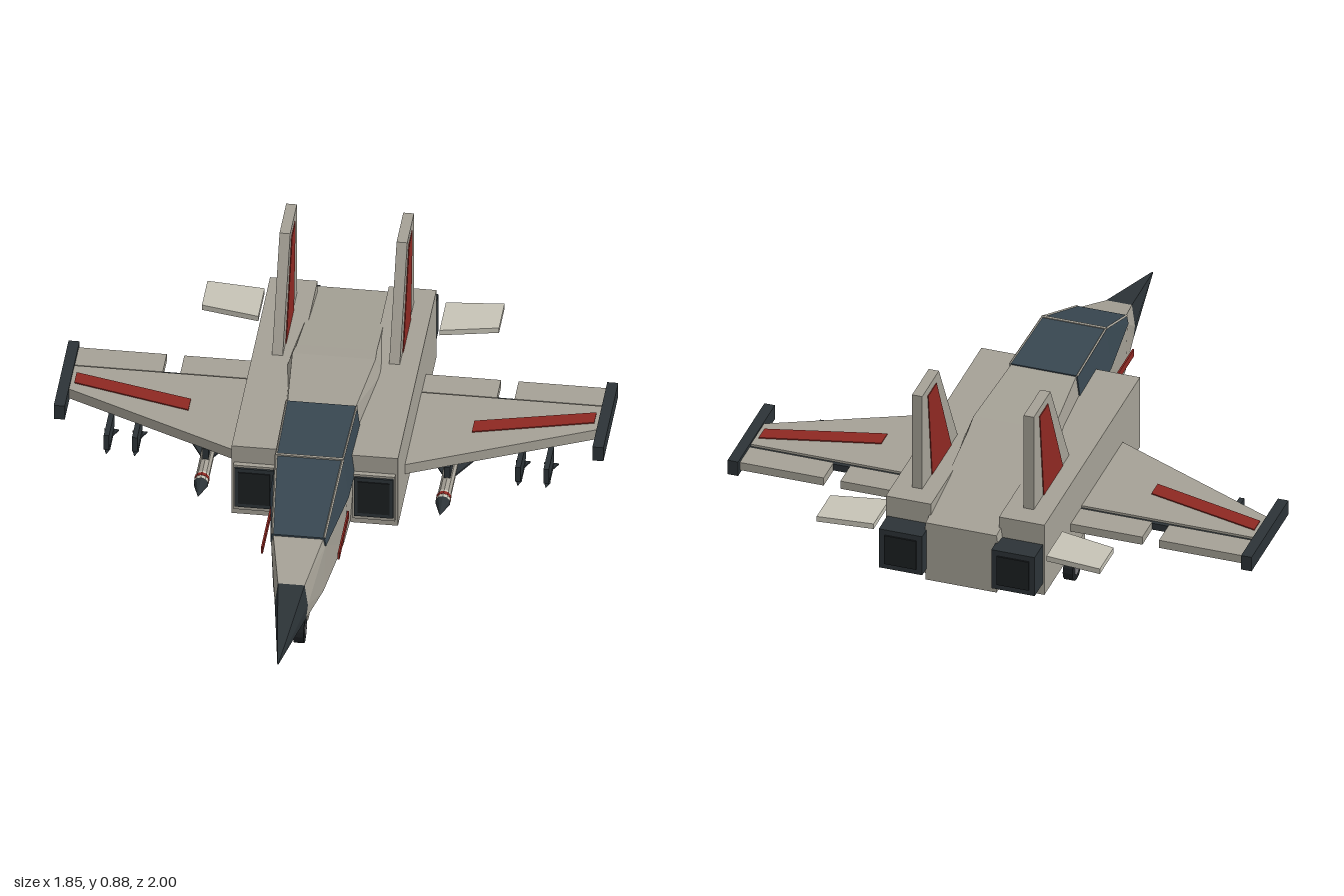
import * as THREE from 'three';

const mat = (color) => new THREE.MeshStandardMaterial({ color, flatShading: true });

export function createModel() {
  const model = new THREE.Group();
  const grey = mat(0xa5a196), light = mat(0xc6c3b6), dark = mat(0x2c3337), black = mat(0x1c2022);
  const red = mat(0x8e2822), glass = mat(0x384751), steel = mat(0x77777a);

  function add(name, geometry, material, x = 0, y = 0, z = 0) {
    const mesh = new THREE.Mesh(geometry, material);
    mesh.name = name;
    mesh.position.set(x, y, z);
    model.add(mesh);
    return mesh;
  }
  // Box from min / max limits on each axis
  function block(name, m, [x0, x1], [y0, y1], [z0, z1]) {
    return add(name, new THREE.BoxGeometry(Math.abs(x1 - x0), y1 - y0, Math.abs(z1 - z0)), m,
      (x0 + x1) / 2, (y0 + y1) / 2, (z0 + z1) / 2);
  }
  // Horizontal plate from a plan outline of [x, z]
  function plate(name, m, outline, y, thickness) {
    const shape = new THREE.Shape(outline.map(([x, z]) => new THREE.Vector2(x, -z)));
    const g = new THREE.ExtrudeGeometry(shape, { depth: thickness, bevelEnabled: false });
    return add(name, g.rotateX(-Math.PI / 2), m, 0, y, 0);
  }
  // Upright plate from a side outline of [z, y], centred on x
  function upright(name, m, outline, x, thickness) {
    const shape = new THREE.Shape(outline.map(([z, y]) => new THREE.Vector2(z, y)));
    const g = new THREE.ExtrudeGeometry(shape, { depth: thickness, bevelEnabled: false });
    return add(name, g.translate(0, 0, -thickness / 2).rotateY(-Math.PI / 2), m, x, 0, 0);
  }
  // Skin over mirrored sections, front to back: { z, half: [x, y] from bottom to top }
  function loft(name, m, sections) {
    const rings = sections.map(({ z, half }) => [
      ...half.map(([x, y]) => [x, y, z]),
      ...half.slice().reverse().map(([x, y]) => [-x, y, z]),
    ]);
    const v = [], n = rings[0].length;
    for (let k = 0; k < rings.length - 1; k++) {
      for (let i = 0; i < n; i++) {
        const j = (i + 1) % n, a = rings[k], b = rings[k + 1];
        v.push(a[i], b[i], a[j], a[j], b[i], b[j]);
      }
    }
    const last = rings[rings.length - 1];
    for (let i = 1; i < n - 1; i++) {
      v.push(rings[0][0], rings[0][i], rings[0][i + 1], last[0], last[i + 1], last[i]);
    }
    const g = new THREE.BufferGeometry();
    g.setAttribute('position', new THREE.Float32BufferAttribute(v.flat(), 3));
    g.computeVertexNormals();
    return add(name, g, m);
  }
  // Round bar between two points
  function rod(name, m, a, b, r, r2 = r, sides = 10) {
    const p = new THREE.Vector3(...a), q = new THREE.Vector3(...b);
    const mesh = add(name, new THREE.CylinderGeometry(r2, r, p.distanceTo(q), sides), m);
    mesh.position.copy(p).add(q).multiplyScalar(0.5);
    mesh.quaternion.setFromUnitVectors(new THREE.Vector3(0, 1, 0), q.sub(p).normalize());
    return mesh;
  }

  // Fuselage and nose
  const section = (z, yb, wb, ym, wm, yt, wt) => ({ z, half: [[wb, yb], [wm, ym], [wt, yt]] });
  loft('noseCone', dark, [
    section(1, 0.303, 0.002, 0.305, 0.002, 0.307, 0.002),
    section(0.66, 0.255, 0.05, 0.31, 0.056, 0.39, 0.045),
  ]);
  loft('fuselage', grey, [
    section(0.66, 0.255, 0.05, 0.31, 0.056, 0.39, 0.045),
    section(0.48, 0.245, 0.085, 0.43, 0.092, 0.46, 0.085),
    section(0.2, 0.24, 0.115, 0.43, 0.128, 0.575, 0.108),
    section(-0.11, 0.237, 0.125, 0.43, 0.135, 0.583, 0.115),
    section(-0.42, 0.236, 0.125, 0.5, 0.16, 0.56, 0.14),
    section(-0.49, 0.236, 0.125, 0.5, 0.155, 0.545, 0.135),
    section(-0.95, 0.236, 0.125, 0.42, 0.13, 0.46, 0.125),
  ]);

  // Canopy with its frame
  const pane = (z, yb, wb, yt, wt) => ({ z, half: [[wb, yb], [wt, yt]] });
  loft('canopy', glass, [
    pane(0.485, 0.432, 0.094, 0.464, 0.088),
    pane(0.2, 0.432, 0.132, 0.587, 0.113),
    pane(-0.11, 0.432, 0.138, 0.587, 0.119),
  ]);
  block('canopyFrame', grey, [-0.114, 0.114], [0.582, 0.59], [0.195, 0.205]);
  for (const s of [-1, 1]) {
    rod('canopyRail', grey, [s * 0.087, 0.463, 0.483], [s * 0.112, 0.586, 0.2], 0.005, 0.005, 4);
    rod('canopyRail', grey, [s * 0.112, 0.586, 0.2], [s * 0.118, 0.586, -0.11], 0.004, 0.004, 4);
  }

  // Wheel, strut, brace and door of one landing gear leg
  function landingGear(name, x, z, doorX, doorZ) {
    const wheel = (part, m, r, w) =>
      add(name + part, new THREE.CylinderGeometry(r, r, w, 16).rotateZ(Math.PI / 2), m, x, 0.046, z);
    wheel('Tire', black, 0.046, 0.034);
    wheel('Hub', steel, 0.025, 0.038);
    rod(name + 'Strut', steel, [x, 0.05, z], [x, 0.25, z], 0.011);
    rod(name + 'Brace', steel, [x, 0.12, z - 0.01], [x, 0.245, z - 0.075], 0.006);
    block(name + 'Door', grey, [doorX - 0.003, doorX + 0.003], [0.12, 0.245], doorZ);
  }
  landingGear('noseGear', 0, 0.435, 0.03, [0.405, 0.483]);

  // Belly gun
  block('gunHousing', grey, [-0.05, 0], [0.19, 0.24], [-0.04, -0.14]);
  block('gunBody', dark, [-0.035, 0.03], [0.195, 0.237], [0.025, -0.04]);
  for (const x of [-0.014, 0.008]) {
    for (const y of [0.207, 0.225]) rod('gunBarrel', dark, [x, y, 0.02], [x, y, 0.14], 0.006);
  }

  // Round store with a pointed nose and crossed tail fins
  function missile(name, x, y, front, back, r, span, finLength, body) {
    const tip = r * 3.2;
    rod(name + 'Nose', dark, [x, y, front - tip], [x, y, front], r * 1.1, 0.001);
    rod(name + 'Body', body, [x, y, back], [x, y, front - tip], r);
    for (const turn of [0, 1]) {
      const w = turn ? 0.006 : span, h = turn ? span : 0.006;
      // Swept: the leading edge narrows towards the body
      const g = new THREE.BoxGeometry(w, h, finLength);
      const p = g.attributes.position;
      for (let i = 0; i < p.count; i++) {
        if (p.getZ(i) > 0) {
          if (turn) p.setY(i, p.getY(i) * 0.3);
          else p.setX(i, p.getX(i) * 0.3);
        }
      }
      g.computeVertexNormals();
      add(name + 'Fin', g, dark, x, y, back + finLength / 2);
    }
  }

  for (const s of [-1, 1]) {
    const mx = (pts) => pts.map(([x, z]) => [s * x, z]);

    // Engine box, intake and exhaust
    block('engineBox', grey, [s * 0.12, s * 0.28], [0.235, 0.51], [-0.91, 0.065]);
    block('intakeFrame', grey, [s * 0.13, s * 0.272], [0.265, 0.445], [0, 0.083]);
    block('intakeRim', dark, [s * 0.136, s * 0.267], [0.28, 0.437], [0, 0.09]);
    block('intakeOpening', black, [s * 0.148, s * 0.255], [0.295, 0.422], [0, 0.093]);
    block('exhaust', dark, [s * 0.122, s * 0.275], [0.28, 0.432], [-0.9, -0.995]);
    block('exhaustOpening', black, [s * 0.142, s * 0.255], [0.3, 0.412], [-0.9, -1.0]);
    block('noseStripe', red, [s * 0.126, s * 0.132], [0.343, 0.37], [0.19, 0.432]);

    // Wing, hinge line, flaps, stripe and tip pod
    plate('wing', grey, mx([[0.27, -0.107], [0.9, -0.4], [0.9, -0.53], [0.27, -0.53]]), 0.322, 0.038);
    block('flapHinge', dark, [s * 0.27, s * 0.89], [0.327, 0.352], [-0.525, -0.545]);
    block('flap', grey, [s * 0.28, s * 0.533], [0.325, 0.355], [-0.54, -0.642]);
    block('aileron', grey, [s * 0.592, s * 0.89], [0.325, 0.355], [-0.54, -0.642]);
    plate('wingStripe', red, mx([[0.477, -0.324], [0.875, -0.43], [0.875, -0.488], [0.477, -0.387]]), 0.358, 0.006);
    block('tipPod', dark, [s * 0.888, s * 0.925], [0.312, 0.367], [-0.285, -0.66]);

    // Tail surfaces
    upright('tailFin', grey, [[-0.465, 0.5], [-0.66, 0.875], [-0.83, 0.875], [-0.83, 0.5]], s * 0.197, 0.036);
    upright('finStripe', red, [[-0.54, 0.511], [-0.69, 0.845], [-0.775, 0.845], [-0.735, 0.511]], s * 0.197, 0.042);
    plate('tailplane', light, mx([[0.305, -0.8], [0.5, -0.84], [0.5, -0.98], [0.305, -0.962]]), 0.405, 0.02);

    landingGear('mainGear', s * 0.212, -0.432, s * 0.238, [-0.385, -0.46]);

    // Large missile under the inner wing
    const x = s * 0.407;
    missile('missile', x, 0.216, -0.04, -0.36, 0.023, 0.14, 0.09, grey);
    rod('missileBand', light, [x, 0.216, -0.155], [x, 0.216, -0.115], 0.0245);
    rod('missileRedBand', red, [x, 0.216, -0.145], [x, 0.216, -0.13], 0.0255);
    block('missilePylon', dark, [x - 0.01, x + 0.01], [0.235, 0.28], [-0.225, -0.34]);

    // Two small rockets under the outer wing
    for (const d of [0.645, 0.74]) {
      missile('rocket', s * d, 0.232, -0.22, -0.36, 0.01, 0.05, 0.035, dark);
      block('rocketPylon', dark, [s * d - 0.009, s * d + 0.009], [0.245, 0.303], [-0.225, -0.36]);
    }
  }
  return model;
}
